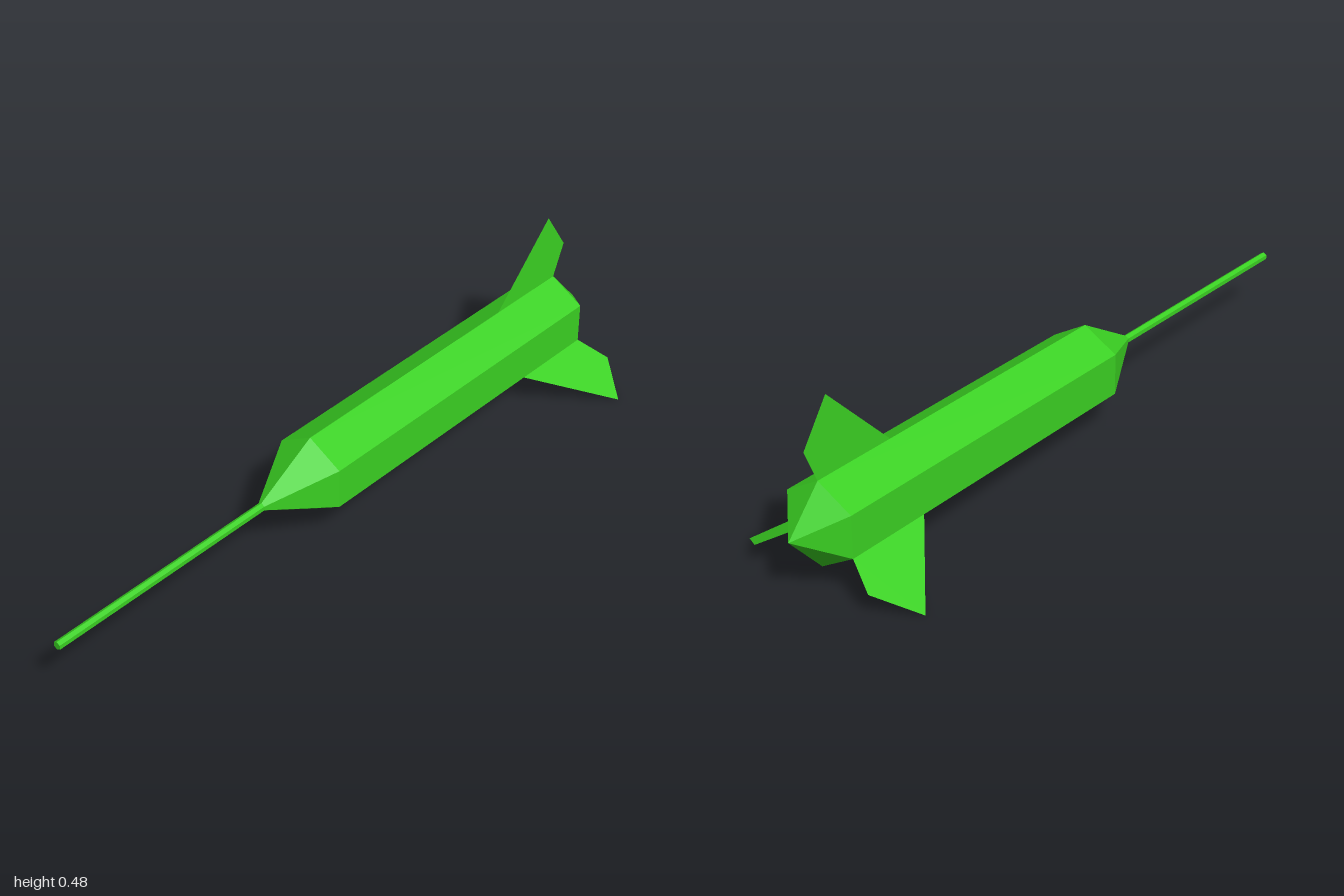
import * as THREE from 'three';

const CENTER_Y = 0.16;
const BODY_R = 0.114;
const ROD_R = 0.0117;

export function createModel() {
  const model = new THREE.Group();
  model.name = 'dart';
  const green = new THREE.MeshStandardMaterial({ color: 0x3ad022, flatShading: true, side: THREE.DoubleSide });
  green.name = 'green';

  const axis = new THREE.Group();
  axis.name = 'dartParts';
  axis.position.y = CENTER_Y;
  model.add(axis);

  function add(name, geometry) {
    const mesh = new THREE.Mesh(geometry, green);
    mesh.name = name;
    axis.add(mesh);
    return mesh;
  }

  // Six-sided section running along z from back to front
  function section(name, backZ, frontZ, backR, frontR) {
    const g = new THREE.CylinderGeometry(frontR, backR, frontZ - backZ, 6, 1, true);
    g.rotateX(Math.PI / 2).translate(0, 0, (backZ + frontZ) / 2);
    return add(name, g);
  }
  section('tailCone', -1, -0.895, 0, BODY_R);
  section('barrel', -0.895, 0.125, BODY_R, BODY_R);
  section('noseCone', 0.125, 0.308, BODY_R, ROD_R);
  section('needle', 0.308, 1, ROD_R, ROD_R);

  // Flat end of the needle
  add('needleTip', new THREE.CircleGeometry(ROD_R, 6).rotateZ(Math.PI / 2).translate(0, 0, 1));

  // Three flat swept fins on alternate edges of the barrel
  const finShape = new THREE.Shape([
    [0.645, BODY_R], [0.855, 0.32], [0.935, 0.205], [0.895, BODY_R],
  ].map(([back, r]) => new THREE.Vector2(back, r)));
  const finGeometry = new THREE.ShapeGeometry(finShape).rotateY(Math.PI / 2);
  ['topFin', 'rightFin', 'leftFin'].forEach((name, i) => {
    add(name, finGeometry).rotation.z = (i * Math.PI * 2) / 3;
  });

  return model;
}
